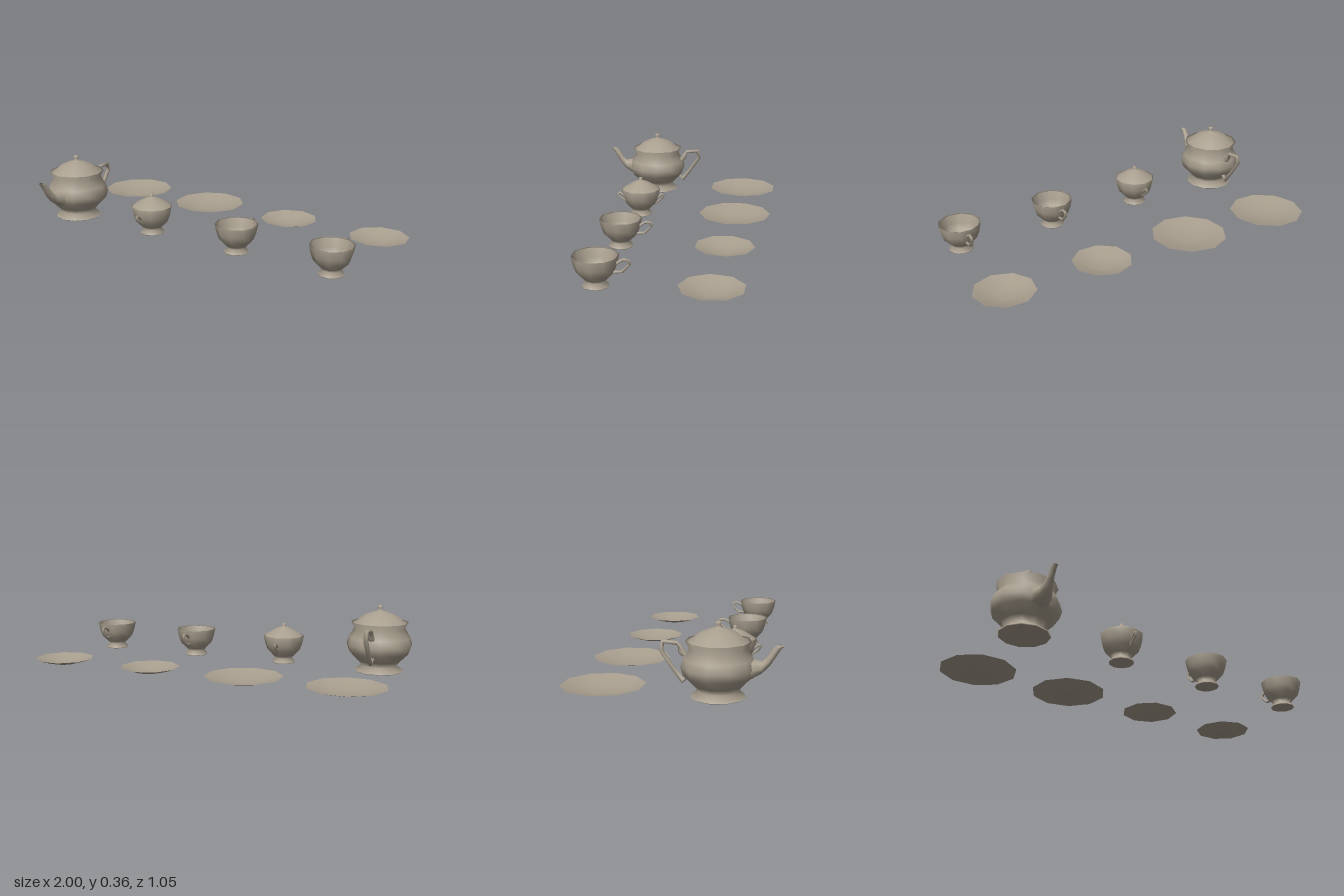
import * as THREE from 'three';

const china = new THREE.MeshStandardMaterial({ color: 0xa89e8e, side: THREE.DoubleSide });
china.name = 'china';

// Turned part from [radius, height] pairs
function turned(name, profile, sides, turn = 0) {
  const points = profile.map(([r, y]) => new THREE.Vector2(r, y));
  const mesh = new THREE.Mesh(new THREE.LatheGeometry(points, sides, turn), china);
  mesh.name = name;
  return mesh;
}

// Elliptical tube lying in the z-y plane. Each section is
// [z, y of one edge, z, y of the other edge, half width along x]
function swept(name, sections, sides = 6) {
  const pos = [], index = [];
  sections.forEach(([z1, y1, z2, y2, w], i) => {
    for (let j = 0; j < sides; j++) {
      const a = (j / sides) * Math.PI * 2, c = Math.cos(a) / 2;
      pos.push(w * Math.sin(a), (y1 + y2) / 2 + (y1 - y2) * c, (z1 + z2) / 2 + (z1 - z2) * c);
      if (i > 0) {
        const k = (j + 1) % sides, p = (i - 1) * sides, q = i * sides;
        index.push(p + j, q + j, p + k, p + k, q + j, q + k);
      }
    }
  });
  const g = new THREE.BufferGeometry();
  g.setAttribute('position', new THREE.Float32BufferAttribute(pos, 3));
  g.setIndex(index);
  g.computeVertexNormals();
  const mesh = new THREE.Mesh(g, china);
  mesh.name = name;
  return mesh;
}

function piece(name, x, z, ...parts) {
  const group = new THREE.Group();
  group.name = name;
  group.position.set(x, 0, z);
  group.add(...parts);
  return group;
}

// Ear handle of a cup, on the -z side
const cupHandle = () => swept('cupHandle', [
  [-0.095, 0.128, -0.09, 0.105, 0.008],
  [-0.135, 0.15, -0.13, 0.133, 0.008],
  [-0.165, 0.145, -0.152, 0.133, 0.008],
  [-0.17, 0.118, -0.155, 0.118, 0.008],
  [-0.13, 0.075, -0.123, 0.088, 0.008],
  [-0.085, 0.07, -0.085, 0.085, 0.008],
]);

// Outer wall from foot to rim, shared by cups and sugar bowl
const cupWall = [[0, 0.012], [0.064, 0.004], [0.066, 0.008], [0.047, 0.03], [0.06, 0.045],
  [0.09, 0.075], [0.103, 0.11], [0.113, 0.157]];
const cupInside = [[0.106, 0.154], [0.096, 0.11], [0.083, 0.078], [0.05, 0.047], [0, 0.042]];

function teapot() {
  const body = turned('potBody', [[0, 0.02], [0.125, 0.005], [0.13, 0.009], [0.094, 0.036], [0.118, 0.065],
    [0.163, 0.11], [0.175, 0.15], [0.163, 0.19], [0.135, 0.235], [0.153, 0.27], [0.135, 0.262]], 11);
  const lid = turned('potLid', [[0.143, 0.262], [0.125, 0.275], [0.085, 0.307], [0.04, 0.325],
    [0.014, 0.331], [0.011, 0.345], [0.016, 0.358], [0, 0.361]], 10);
  const spout = swept('spout', [
    [0.13, 0.2, 0.105, 0.07, 0.068],
    [0.165, 0.19, 0.155, 0.098, 0.055],
    [0.2, 0.182, 0.2, 0.125, 0.036],
    [0.222, 0.204, 0.236, 0.163, 0.024],
    [0.238, 0.23, 0.263, 0.205, 0.018],
    [0.258, 0.254, 0.284, 0.24, 0.015],
    [0.276, 0.261, 0.3, 0.253, 0.013],
  ], 8);
  const handle = swept('potHandle', [
    [-0.14, 0.2, -0.17, 0.19, 0.016],
    [-0.158, 0.226, -0.185, 0.205, 0.016],
    [-0.19, 0.26, -0.19, 0.24, 0.014],
    [-0.266, 0.266, -0.252, 0.246, 0.013],
    [-0.278, 0.21, -0.256, 0.215, 0.013],
    [-0.222, 0.13, -0.205, 0.14, 0.012],
    [-0.17, 0.06, -0.16, 0.085, 0.012],
    [-0.13, 0.095, -0.13, 0.12, 0.016],
  ]);
  return piece('teapot', -0.805, 0.225, body, lid, spout, handle);
}

function sugarBowl() {
  const lid = turned('sugarLid', [[0.109, 0.155], [0.085, 0.172], [0.04, 0.198], [0.014, 0.206],
    [0.009, 0.213], [0.01, 0.224], [0, 0.227]], 10);
  const bowl = turned('sugarBody', [...cupWall, [0.1, 0.155]], 10);
  // Two small matching handles, front and back
  const ears = [0, Math.PI].map((turn) => {
    const ear = swept('sugarHandle', [
      [-0.098, 0.115, -0.098, 0.098, 0.008],
      [-0.125, 0.135, -0.122, 0.118, 0.008],
      [-0.142, 0.125, -0.128, 0.117, 0.008],
      [-0.13, 0.1, -0.12, 0.104, 0.007],
      [-0.085, 0.065, -0.085, 0.08, 0.007],
    ]);
    ear.rotation.y = turn;
    return ear;
  });
  return piece('sugarBowl', -0.258, 0.225, bowl, lid, ...ears);
}

// Thin dish with a rim, a sloping side and a flat well
function dish(name, x, radius, sides, turn) {
  const s = radius / 0.2;
  return piece(name, x, -0.325, turned('dish', [[0, 0.003], [0.06 * s, 0.003], [0.125 * s, 0.015],
    [radius, 0.035]], sides, turn));
}

export function createModel() {
  const set = new THREE.Group();
  set.name = 'teaSet';
  set.add(teapot(), sugarBowl());
  for (const x of [0.29, 0.835]) {
    set.add(piece('cup', x, 0.222, turned('cupBody', [...cupWall, ...cupInside], 10, 0.3), cupHandle()));
  }
  set.add(
    dish('plate', -0.798, 0.203, 10, 0.3),
    dish('plate', -0.256, 0.203, 10, 0.1),
    dish('saucer', 0.29, 0.158, 9, 0.35),
    dish('saucer', 0.838, 0.16, 9, 0),
  );
  return set;
}
